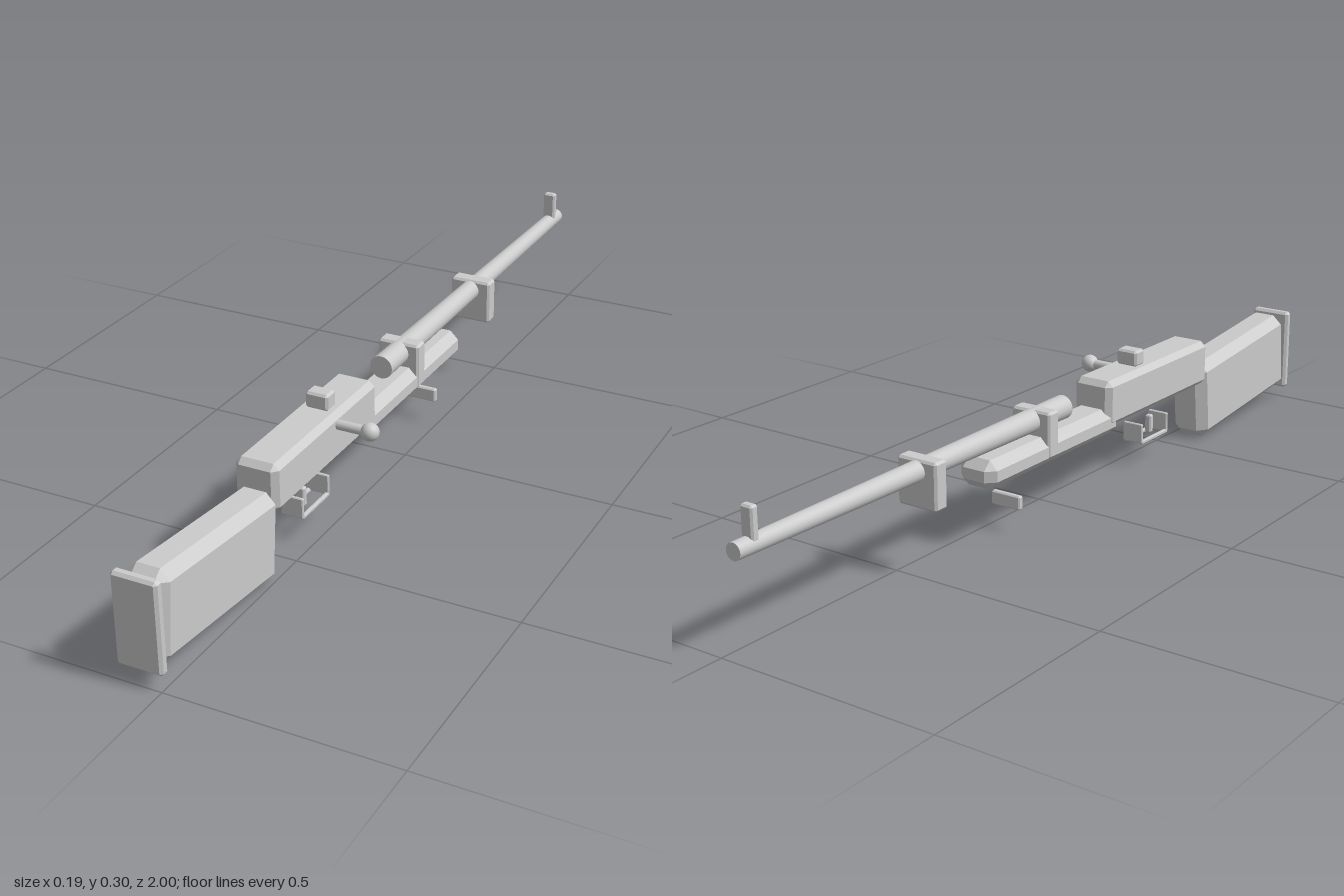
import * as THREE from 'three';
import { ConvexGeometry } from 'three/addons/geometries/ConvexGeometry.js';

const CX = -0.047; // centre plane of the body

// Box with every edge cut by a flat chamfer c
function chamferBox(w, h, d, c) {
  const pts = [];
  for (const sx of [-1, 1]) for (const sy of [-1, 1]) for (const sz of [-1, 1]) {
    const x = w / 2, y = h / 2, z = d / 2;
    pts.push(new THREE.Vector3(sx * x, sy * (y - c), sz * (z - c)));
    pts.push(new THREE.Vector3(sx * (x - c), sy * y, sz * (z - c)));
    pts.push(new THREE.Vector3(sx * (x - c), sy * (y - c), sz * z));
  }
  return new ConvexGeometry(pts);
}

export function createModel() {
  const model = new THREE.Group();
  model.name = 'rifle';
  const mat = new THREE.MeshStandardMaterial({ color: 0xcccccc });
  const flat = new THREE.MeshStandardMaterial({ color: 0xcccccc, flatShading: true });

  function add(name, geometry, x, y, z, material = mat) {
    const mesh = new THREE.Mesh(geometry, material);
    mesh.name = name;
    mesh.position.set(x, y, z);
    model.add(mesh);
    return mesh;
  }
  // Chamfered block given by its width and its y and z ranges
  function block(name, w, y0, y1, z0, z1, c, x = CX) {
    return add(name, chamferBox(w, y1 - y0, z1 - z0, c), x, (y0 + y1) / 2, (z0 + z1) / 2, flat);
  }

  // Stock, tilted so the front end drops
  const stock = block('stock', 0.095, 0.021, 0.217, 0.56, 0.98, 0.022);
  stock.rotation.x = -0.1;
  block('buttPlate', 0.101, 0.035, 0.238, 0.977, 1.0, 0.006);

  // Body
  block('receiver', 0.099, 0.15, 0.258, 0.139, 0.573, 0.013);
  block('forend', 0.095, 0.128, 0.193, -0.3, 0.19, 0.02);

  // Tapered barrel
  const barrel = add('barrel', new THREE.CylinderGeometry(0.018, 0.027, 1.025, 24), CX, 0.225, -0.4875);
  barrel.rotation.x = -Math.PI / 2;

  // Barrel bands
  for (const z of [-0.078, -0.468]) block('barrelBand', 0.1, 0.145, 0.25, z - 0.019, z + 0.019, 0.005);

  // Sights
  block('rearSight', 0.053, 0.256, 0.294, 0.282, 0.32, 0.005);
  block('frontSight', 0.03, 0.225, 0.303, -0.965, -0.946, 0.004);

  // Bolt handle
  const shaft = add('boltHandle', new THREE.CylinderGeometry(0.011, 0.011, 0.09, 16), 0.025, 0.233, 0.317);
  shaft.rotation.z = Math.PI / 2;
  add('boltKnob', new THREE.SphereGeometry(0.02, 24, 16), 0.077, 0.233, 0.317);

  // Trigger guard: two upright plates joined by side rails
  for (const z of [0.319, 0.429]) block('guardPlate', 0.052, 0.06, 0.107, z - 0.004, z + 0.004, 0.002);
  for (const s of [-1, 1]) block('guardRail', 0.009, 0.057, 0.066, 0.318, 0.43, 0.002, CX + s * 0.022);
  block('trigger', 0.016, 0.065, 0.109, 0.381, 0.396, 0.003);

  // Sling plate below the forend
  block('slingPlate', 0.075, 0.053, 0.085, -0.19, -0.176, 0.003);

  return model;
}
